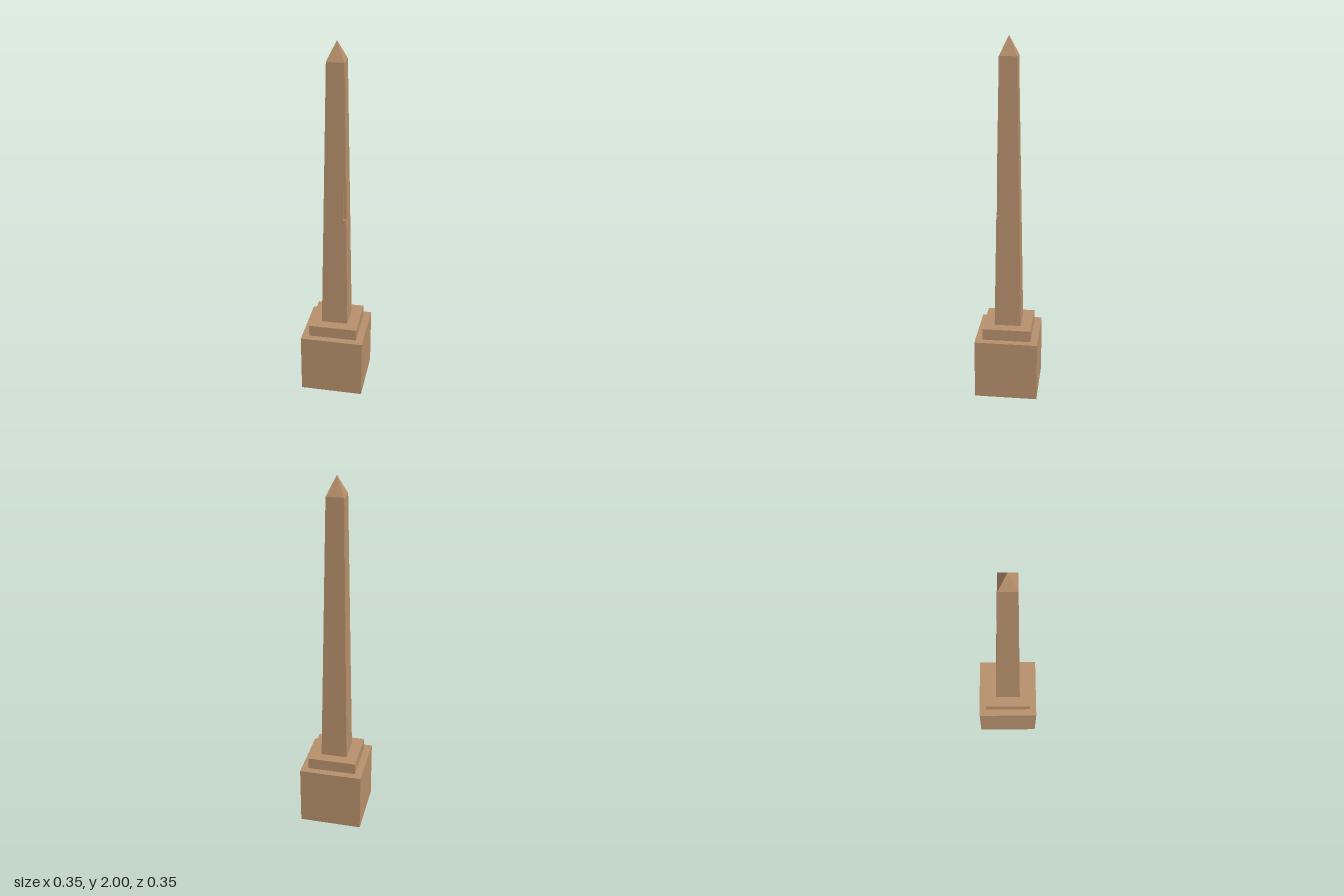
import * as THREE from 'three';

const square = (h) => [[-h, h], [h, h], [h, -h], [-h, -h]];
// square with its front left corner cut back to n
const notched = (h, n) => [[-h, h], [n, h], [n, n], [h, n], [h, -h], [-h, -h]];

// straight-sided solid between two matching outlines, with optional flat ends
function loft(lower, y0, upper, y1, capped) {
  const pos = [];
  const tri = (...points) => points.forEach((p) => pos.push(...p));
  const a = lower.map(([x, z]) => [x, y0, z]);
  const b = upper.map(([x, z]) => [x, y1, z]);
  a.forEach((p, i) => {
    const j = (i + 1) % a.length;
    tri(p, a[j], b[j]);
    tri(p, b[j], b[i]);
    if (capped && i > 0 && j > 0) {
      tri(b[0], b[i], b[j]);
      tri(a[0], a[j], p);
    }
  });
  const geometry = new THREE.BufferGeometry();
  geometry.setAttribute('position', new THREE.Float32BufferAttribute(pos, 3));
  geometry.computeVertexNormals();
  return geometry;
}

export function createModel() {
  const group = new THREE.Group();
  const stone = new THREE.MeshStandardMaterial({ color: 0xb8916c });
  stone.name = 'sandstone';

  const add = (name, geometry, y = 0) => {
    const mesh = new THREE.Mesh(geometry, stone);
    mesh.name = name;
    mesh.position.y = y;
    group.add(mesh);
  };

  // pedestal and step
  add('pedestal', new THREE.BoxGeometry(0.35, 0.34, 0.35), 0.17);
  add('step', new THREE.BoxGeometry(0.27, 0.065, 0.27), 0.3725);

  // tapering shaft, chipped at one corner
  const y0 = 0.405, y1 = 1.9, chipLow = 1.05, chipHigh = 1.25, chipIn = 0.045;
  const half = (y) => THREE.MathUtils.mapLinear(y, y0, y1, 0.0735, 0.047);
  const section = (low, high) => loft(square(half(low)), low, square(half(high)), high, true);
  add('lowerShaft', section(y0, chipLow));
  add('chippedShaft', loft(notched(half(chipLow), chipIn), chipLow, notched(half(chipHigh), chipIn), chipHigh, false));
  add('upperShaft', section(chipHigh, y1));

  // pointed cap
  add('pyramidCap', loft(square(half(y1)), y1, square(0), 2, false));

  return group;
}
